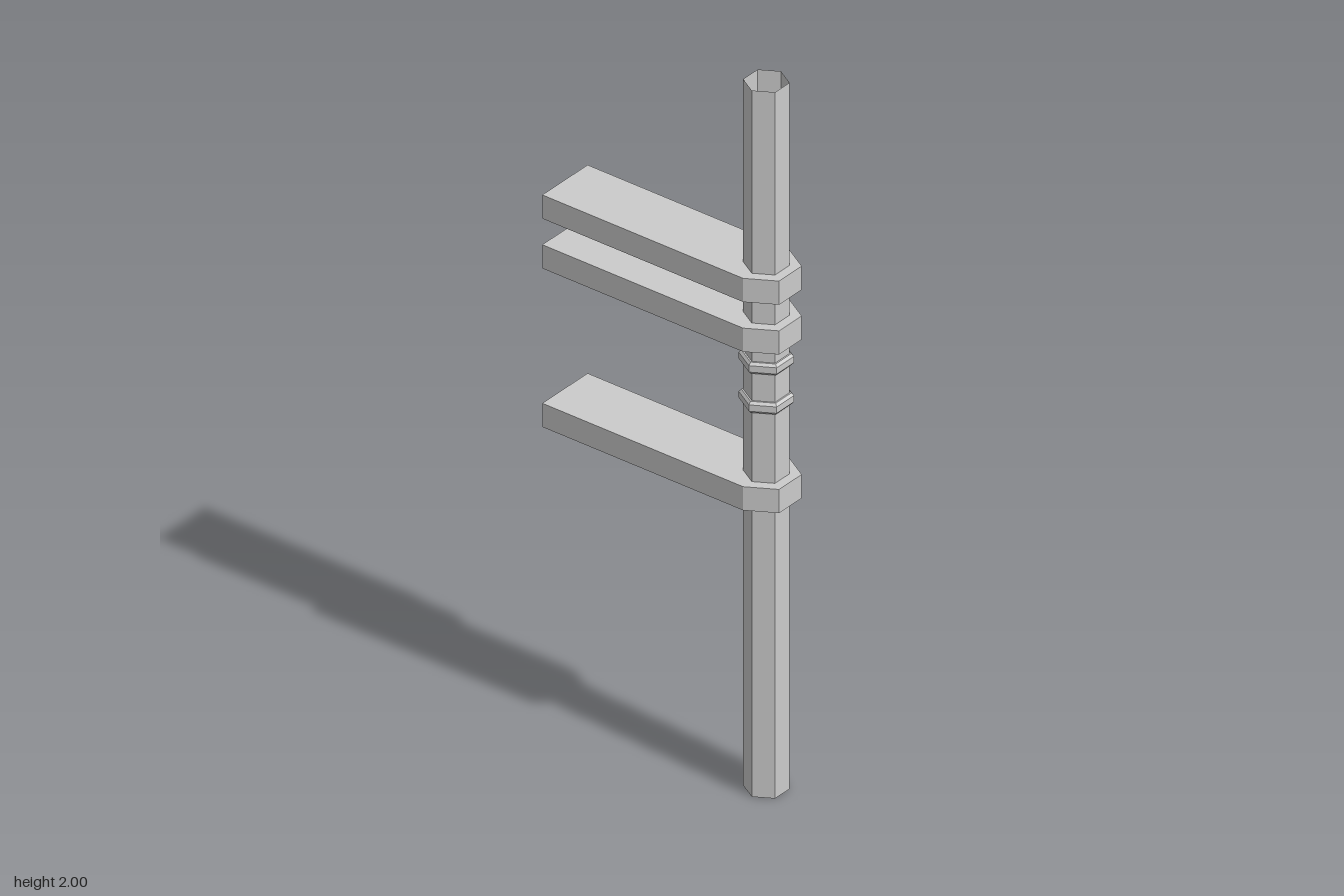
import * as THREE from 'three';

const POLE_Z = 0.273;
const POLE_R = 0.0565;

export function createModel() {
  const group = new THREE.Group();
  const material = new THREE.MeshStandardMaterial({ color: 0xcccccc, flatShading: true });
  const openMaterial = material.clone();
  openMaterial.side = THREE.DoubleSide;

  const add = (name, geometry, y, z = 0, mat = material) => {
    const mesh = new THREE.Mesh(geometry, mat);
    mesh.name = name;
    mesh.position.set(0, y, z);
    group.add(mesh);
  };

  // Open-ended hexagonal tube, flat side to the front
  add('pole', new THREE.CylinderGeometry(POLE_R, POLE_R, 2, 6, 1, true, Math.PI / 6), 1, POLE_Z, openMaterial);

  // Flat arms reaching backwards, with a tapered front end around the pole
  const outline = new THREE.Shape([
    [-0.088, -0.347], [0.088, -0.347], [0.088, 0.271],
    [0.044, 0.347], [-0.044, 0.347], [-0.088, 0.271],
  ].map(([x, z]) => new THREE.Vector2(x, z)));
  const armHeight = 0.067;
  const arm = new THREE.ExtrudeGeometry(outline, { depth: armHeight, bevelEnabled: false });
  arm.rotateX(Math.PI / 2).translate(0, armHeight / 2, 0);
  [['lowerArm', 0.859], ['middleArm', 1.308], ['upperArm', 1.449]].forEach(([name, y]) => add(name, arm, y));

  // Hexagonal collars with chamfered rims
  const profile = [
    [0.052, -0.016], [0.061, -0.016], [0.0675, -0.009],
    [0.0675, 0.009], [0.061, 0.016], [0.052, 0.016],
  ].map(([r, y]) => new THREE.Vector2(r, y));
  const collar = new THREE.LatheGeometry(profile, 6, Math.PI / 6);
  add('lowerCollar', collar, 1.106, POLE_Z);
  add('upperCollar', collar, 1.217, POLE_Z);

  return group;
}
